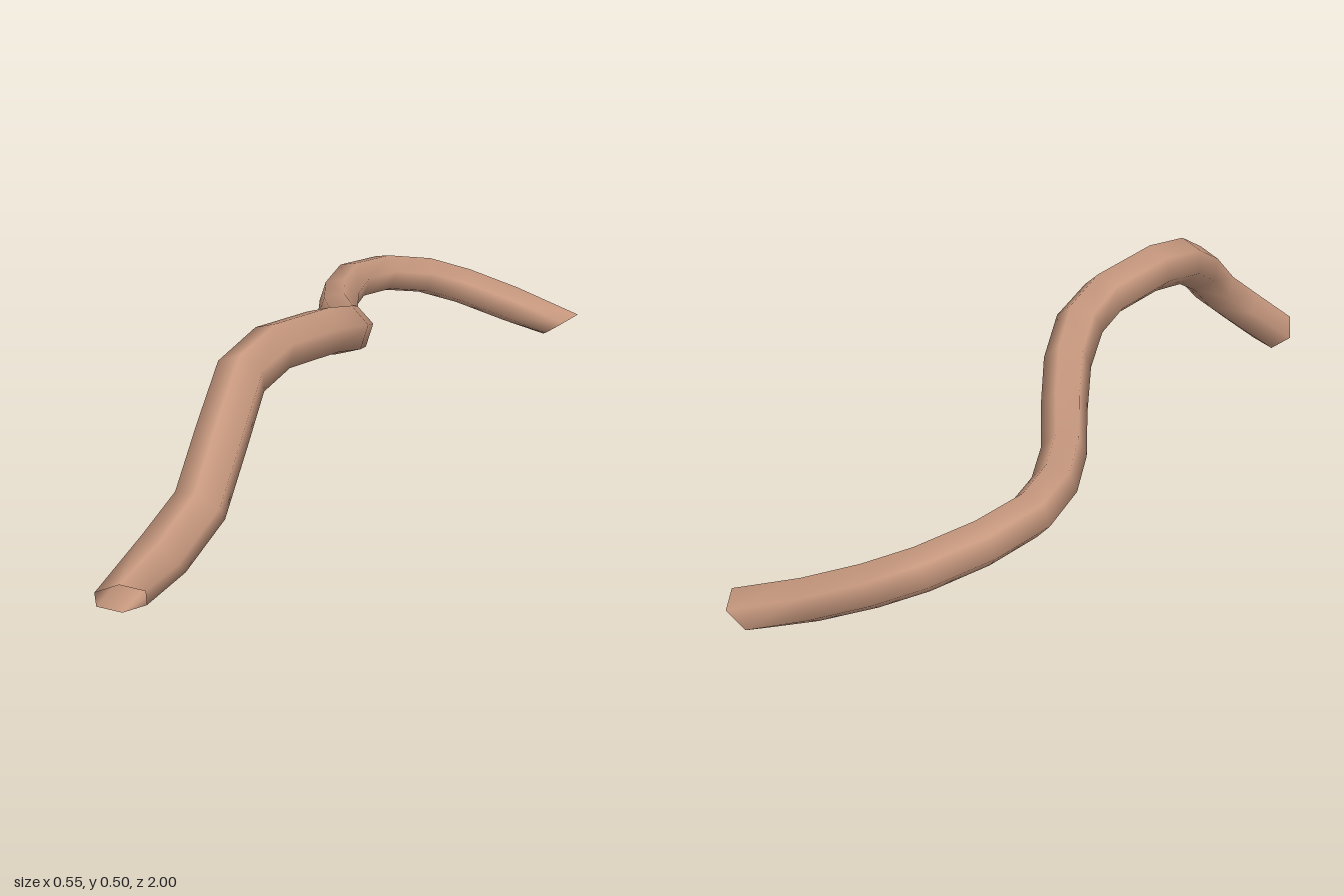
import * as THREE from 'three';

const SIDES = 6;
const RADIUS = 0.059;

// Centre line from the front tip to the back tip
const path = [
  [-0.005, 0.103, 0.962], [0.05, 0.18, 0.88], [0.085, 0.255, 0.79], [0.065, 0.35, 0.66],
  [0.03, 0.42, 0.51], [0.037, 0.437, 0.38], [0.068, 0.412, 0.2], [0.068, 0.375, 0.09],
  [0.025, 0.325, -0.03], [-0.05, 0.27, -0.16], [-0.14, 0.236, -0.3], [-0.2, 0.222, -0.43],
  [-0.23, 0.214, -0.57], [-0.2, 0.196, -0.7], [-0.125, 0.163, -0.81], [-0.035, 0.126, -0.87],
  [0.09, 0.078, -0.915], [0.227, 0.032, -0.944],
].map((p) => new THREE.Vector3(...p));

// Slanted cuts at the two open ends, as directions along the path
const frontCut = new THREE.Vector3(-0.42, 0.52, -0.74).normalize();
const backCut = new THREE.Vector3(0.6, -0.79, 0.1).normalize();

function ropeGeometry() {
  const positions = [];
  const index = [];
  const last = path.length - 1;
  const side = new THREE.Vector3(0, 1, 0);
  path.forEach((centre, i) => {
    const along = i === 0 ? frontCut
      : i === last ? backCut
        : path[i + 1].clone().sub(path[i - 1]).normalize();
    // Carry the previous ring's direction along so the tube does not twist
    side.addScaledVector(along, -side.dot(along)).normalize();
    const across = along.clone().cross(side);
    const r = RADIUS - 0.007 * Math.min(1, Math.max(0, (i - 7) / 3)) * (i === last ? 0 : 1);
    for (let j = 0; j < SIDES; j++) {
      const a = (j / SIDES) * Math.PI * 2;
      const p = centre.clone()
        .addScaledVector(side, r * Math.cos(a))
        .addScaledVector(across, r * Math.sin(a));
      positions.push(p.x, p.y, p.z);
      if (i < last) {
        const k = (j + 1) % SIDES;
        const a0 = i * SIDES + j, b0 = i * SIDES + k;
        index.push(a0, b0, a0 + SIDES, b0, b0 + SIDES, a0 + SIDES);
      }
    }
  });
  const geometry = new THREE.BufferGeometry();
  geometry.setAttribute('position', new THREE.Float32BufferAttribute(positions, 3));
  geometry.setIndex(index);
  geometry.computeVertexNormals();
  return geometry;
}

export function createModel() {
  const group = new THREE.Group();
  group.name = 'windingTube';

  const material = new THREE.MeshStandardMaterial({ color: 0xc8997f, side: THREE.DoubleSide });
  material.name = 'tan';

  // Open six-sided tube
  const tube = new THREE.Mesh(ropeGeometry(), material);
  tube.name = 'tube';
  group.add(tube);
  return group;
}
